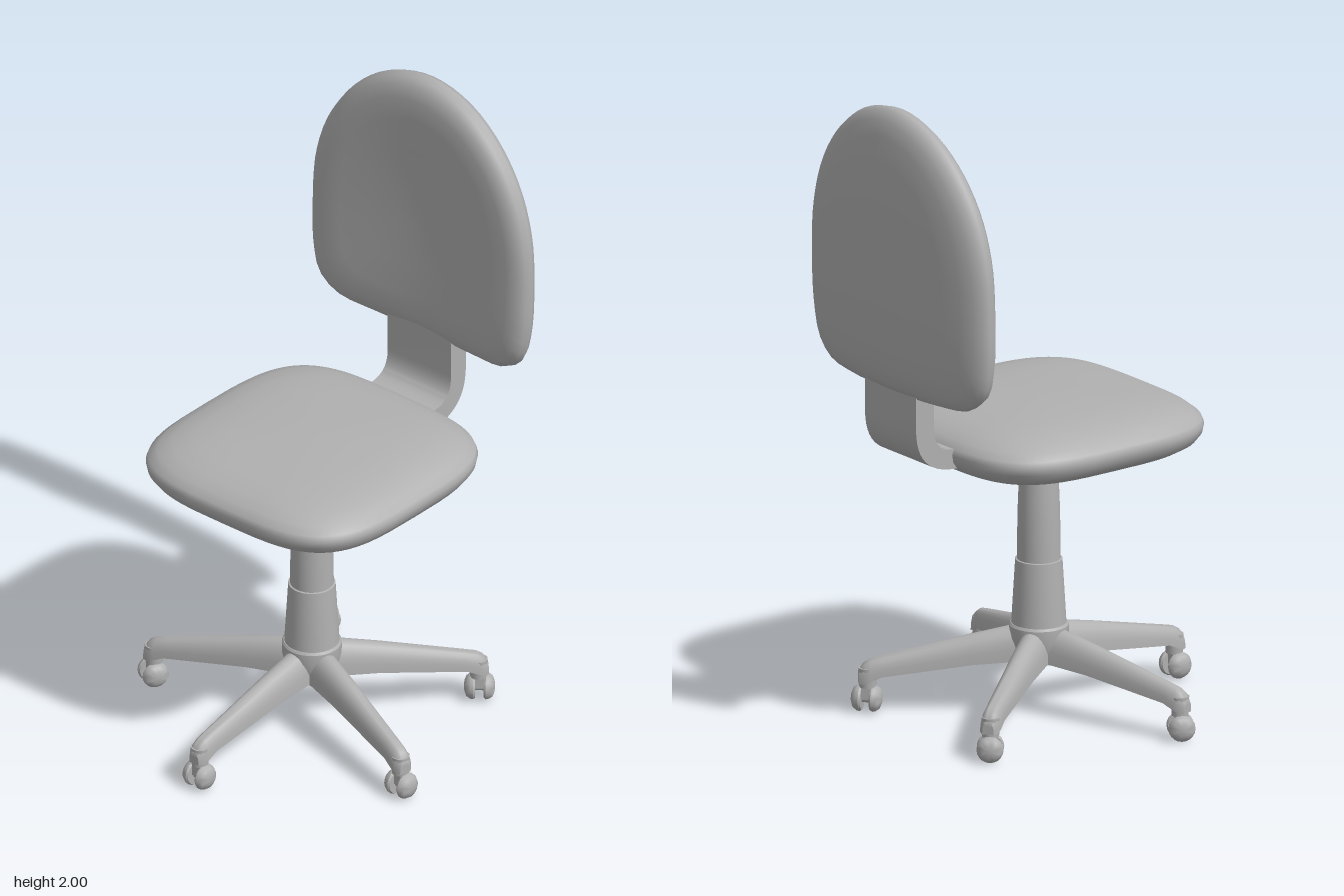
import * as THREE from 'three';
import { toCreasedNormals } from 'three/addons/utils/BufferGeometryUtils.js';

const grey = new THREE.MeshStandardMaterial({ color: 0xb0b0b0 });
grey.name = 'plain grey';

const CENTRE_Z = 0.025; // axis of the seat, column and base

function add(parent, name, geometry, x = 0, y = 0, z = 0) {
  const mesh = new THREE.Mesh(geometry, grey);
  mesh.name = name;
  mesh.position.set(x, y, z);
  parent.add(mesh);
  return mesh;
}

// Closed skin over rings that run counter-clockwise about the loft direction
function loft(rings) {
  const n = rings[0].length;
  const points = rings.flat();
  const index = [];
  for (let i = 0; i < rings.length - 1; i++) {
    for (let j = 0; j < n; j++) {
      const k = (j + 1) % n;
      const a = i * n + j, b = i * n + k, c = a + n, d = b + n;
      index.push(a, b, d, a, d, c);
    }
  }
  const middle = (ring) => ring.reduce((s, p) => s.add(p), new THREE.Vector3()).divideScalar(n);
  const first = points.length, last = first + 1, base = (rings.length - 1) * n;
  const all = [...points, middle(rings[0]), middle(rings[rings.length - 1])];
  for (let j = 0; j < n; j++) {
    const k = (j + 1) % n;
    index.push(first, k, j, last, base + j, base + k);
  }
  const geometry = new THREE.BufferGeometry().setFromPoints(all);
  geometry.setIndex(index);
  geometry.computeVertexNormals();
  return geometry;
}

const lathe = (profile, sides = 32) =>
  new THREE.LatheGeometry(profile.map(([r, y]) => new THREE.Vector2(r, y)), sides);

// Rounded-square cushion: [scale, height] from the underside to the crown
function seatGeometry() {
  const levels = [[0.4, 0.84], [0.8, 0.842], [0.88, 0.849], [0.95, 0.868], [0.99, 0.893], [1, 0.916],
    [0.985, 0.935], [0.93, 0.955], [0.84, 0.974], [0.7, 0.988], [0.5, 0.996], [0.2, 1]];
  const round = (v) => Math.sign(v) * Math.abs(v) ** (2 / 3.6);
  return loft(levels.map(([s, y]) => Array.from({ length: 64 }, (_, i) => {
    const t = (i / 64) * Math.PI * 2;
    return new THREE.Vector3(0.428 * s * round(Math.sin(t)), y, 0.425 * s * round(Math.cos(t)));
  })));
}

// Arched cushion, bent forward at the sides: [scale, depth] from back to front
function backrestGeometry() {
  const half = [[0.2, 1.112], [0.33, 1.128], [0.395, 1.18], [0.42, 1.27], [0.427, 1.4],
    [0.415, 1.6], [0.36, 1.76], [0.26, 1.89], [0.14, 1.97]];
  const outline = [[0, 1.11], ...half, [0, 2], ...half.map(([x, y]) => [-x, y]).reverse()];
  const curve = new THREE.CatmullRomCurve3(
    outline.map(([x, y]) => new THREE.Vector3(x, y, 0)), true, 'centripetal');
  const edge = curve.getSpacedPoints(72).slice(0, 72);
  const levels = [[0.15, -0.058], [0.4, -0.058], [0.65, -0.057], [0.82, -0.052], [0.92, -0.042],
    [0.98, -0.027], [1, -0.008], [0.985, 0.016], [0.94, 0.037], [0.85, 0.052],
    [0.7, 0.057], [0.45, 0.057], [0.15, 0.057]];
  return loft(levels.map(([s, d]) => edge.map((p) => {
    const x = p.x * s, y = 1.55 + (p.y - 1.55) * s;
    return new THREE.Vector3(x, y, -0.522 + 0.22 * x * x + 0.08 * (y - 1.55) ** 2 + d);
  })));
}

// Curved flat bar joining the seat to the backrest, drawn as (depth, height)
function bracketGeometry() {
  const s = new THREE.Shape();
  s.moveTo(0.3, 0.873);
  s.lineTo(0.39, 0.873);
  s.bezierCurveTo(0.49, 0.88, 0.533, 0.93, 0.535, 1.02);
  s.lineTo(0.535, 1.17);
  s.lineTo(0.467, 1.17);
  s.lineTo(0.467, 1.02);
  s.bezierCurveTo(0.467, 0.965, 0.445, 0.938, 0.39, 0.935);
  s.lineTo(0.3, 0.935);
  s.closePath();
  const geometry = new THREE.ExtrudeGeometry(s, { depth: 0.25, bevelEnabled: false, curveSegments: 12 });
  geometry.translate(0, 0, -0.125).rotateY(Math.PI / 2);
  return toCreasedNormals(geometry, 0.6);
}

// Tapered leg, round above and flat below: [distance, half width, bottom, top]
function legGeometry() {
  const stations = [[0, 0.055, 0.165, 0.275], [0.08, 0.047, 0.165, 0.268], [0.2, 0.042, 0.155, 0.241],
    [0.47, 0.031, 0.115, 0.174], [0.505, 0.031, 0.1, 0.165], [0.525, 0.029, 0.092, 0.153],
    [0.54, 0.018, 0.09, 0.13]];
  return toCreasedNormals(loft(stations.map(([z, w, low, high]) =>
    Array.from({ length: 13 }, (_, i) => {
      const t = (i / 12) * Math.PI;
      const lift = Math.max(0, Math.sin(t)) ** 0.75;
      return new THREE.Vector3(w * Math.cos(t), low + (high - low) * lift, z);
    }))), 0.8);
}

// Twin-wheel castor with domed outer faces
function makeCastor() {
  const castor = new THREE.Group();
  castor.name = 'castor';
  const wheel = toCreasedNormals(lathe([[0, 0], [0.037, 0], [0.041, 0.006], [0.04, 0.014],
    [0.032, 0.026], [0.018, 0.032], [0, 0.034]], 20), 0.7);
  for (const side of [-1, 1]) {
    const mesh = add(castor, 'wheel', wheel, side * 0.013, 0.042, 0);
    mesh.rotation.z = -side * Math.PI / 2;
  }
  const axle = add(castor, 'axle', new THREE.CylinderGeometry(0.014, 0.014, 0.04, 12), 0, 0.042, 0);
  axle.rotation.z = Math.PI / 2;
  add(castor, 'fork', new THREE.BoxGeometry(0.026, 0.05, 0.035), 0, 0.067, 0);
  return castor;
}

export function createModel() {
  const chair = new THREE.Group();
  chair.name = 'officeChair';

  add(chair, 'seat', seatGeometry(), 0, 0, CENTRE_Z);
  add(chair, 'backrest', backrestGeometry());
  add(chair, 'backBracket', bracketGeometry());
  add(chair, 'seatPlate', new THREE.BoxGeometry(0.25, 0.045, 0.23), 0, 0.828, CENTRE_Z);

  // Telescopic column
  add(chair, 'upperColumn', toCreasedNormals(lathe([[0.066, 0.47], [0.064, 0.62], [0.062, 0.68],
    [0.055, 0.81]]), 0.5), 0, 0, CENTRE_Z);
  add(chair, 'lowerColumn', toCreasedNormals(lathe([[0.084, 0.26], [0.071, 0.478],
    [0.064, 0.48]]), 0.5), 0, 0, CENTRE_Z);

  // Five-star base
  const base = new THREE.Group();
  base.name = 'base';
  base.position.z = CENTRE_Z;
  chair.add(base);
  add(base, 'hub', toCreasedNormals(lathe([[0, 0.165], [0.07, 0.165], [0.082, 0.2], [0.09, 0.24],
    [0.09, 0.272], [0.085, 0.279], [0, 0.279]]), 0.6));
  const leg = legGeometry();
  const stem = new THREE.CylinderGeometry(0.028, 0.026, 0.06, 16);
  const swivel = [0, 0, 0.7, -0.7, -0.5];
  swivel.forEach((turn, i) => {
    const angle = (i * Math.PI * 2) / 5;
    const arm = new THREE.Group();
    arm.name = 'leg';
    arm.rotation.y = angle;
    add(arm, 'legBeam', leg);
    add(arm, 'castorStem', stem, 0, 0.108, 0.512);
    const castor = makeCastor();
    castor.position.z = 0.515;
    castor.rotation.y = turn - angle;
    arm.add(castor);
    base.add(arm);
  });

  return chair;
}
